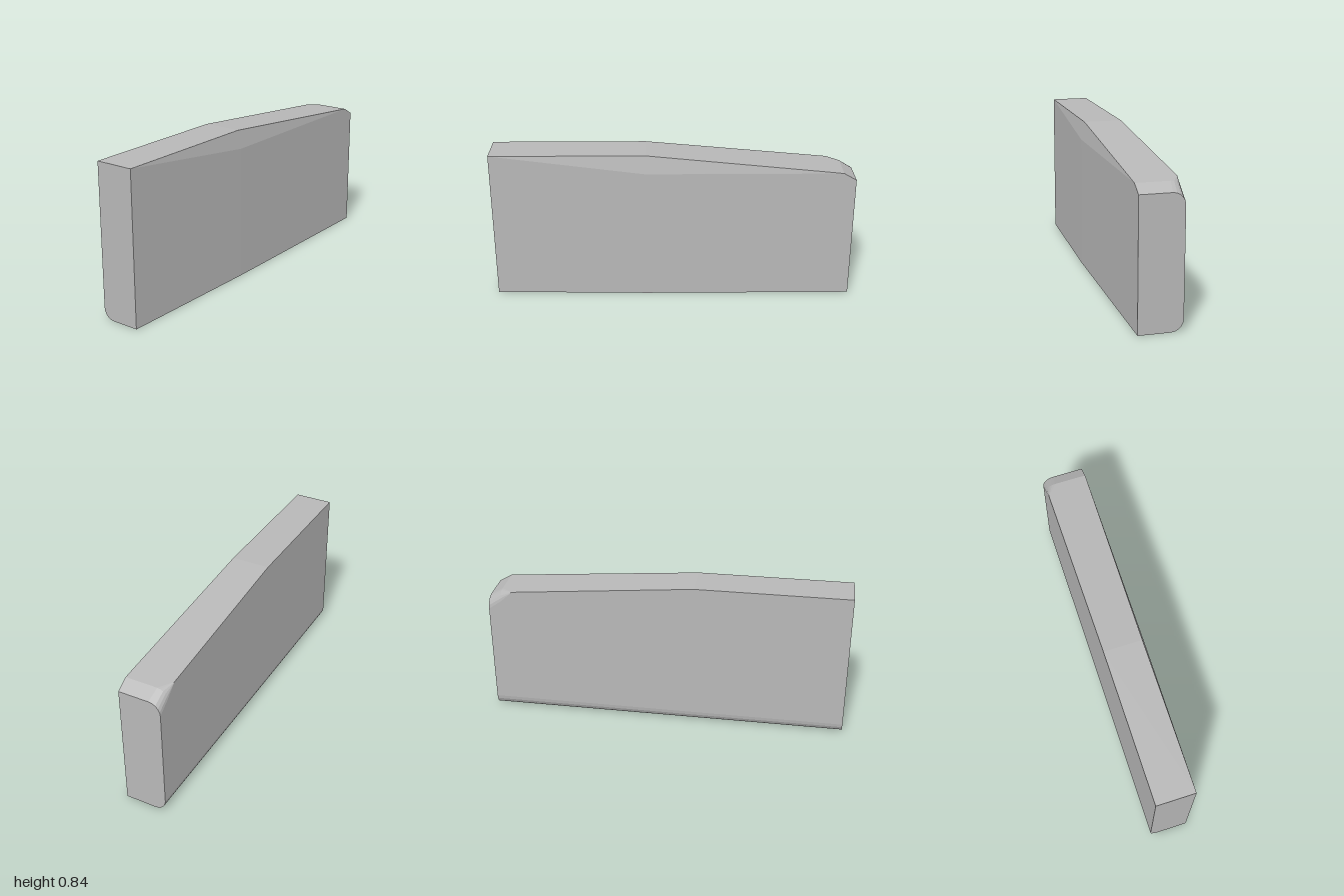
import * as THREE from 'three';

const BACK = -0.117;
const ARC = 5;

// Cross-sections along x: front depth, front crease, top edge and rear corner radii
const sections = [
  { x: -1.0, front: 0.097, creaseY: 0.84, top: 0.84, topZ: 0.097, rTop: 0, rLow: 0.06 },
  { x: -0.15, front: 0.117, creaseY: 0.74, top: 0.84, topZ: 0.097, rTop: 0, rLow: 0.062 },
  { x: 0.86, front: 0.117, creaseY: 0.74, top: 0.747, topZ: 0.1157, rTop: 0, rLow: 0.065 },
  { x: 0.93, front: 0.117, creaseY: 0.74, top: 0.74, topZ: 0.117, rTop: 0.055, rLow: 0.065 },
  { x: 1.0, front: 0.117, creaseY: 0.70, top: 0.70, topZ: 0.117, rTop: 0.065, rLow: 0.065 },
];

// Ring of [y, z] points: up the front, over the top, down the rounded back
function ring(s) {
  const pts = [[0, s.front], [s.creaseY, s.front], [s.top, s.topZ]];
  for (let i = 0; i <= ARC; i++) {
    const t = (i / ARC) * Math.PI / 2;
    pts.push([s.top - s.rTop * (1 - Math.cos(t)), BACK + s.rTop * (1 - Math.sin(t))]);
  }
  for (let i = 0; i <= ARC; i++) {
    const t = (i / ARC) * Math.PI / 2;
    pts.push([s.rLow * (1 - Math.sin(t)), BACK + s.rLow * (1 - Math.cos(t))]);
  }
  return pts;
}

function loft() {
  const rings = sections.map((s) => ring(s).map(([y, z]) => new THREE.Vector3(s.x, y, z)));
  const n = rings[0].length;
  const points = [];
  // Skip triangles that collapse where a corner radius is zero
  const tri = (a, b, c) => {
    if (new THREE.Triangle(a, b, c).getArea() > 1e-8) points.push(a, b, c);
  };
  for (let i = 0; i < rings.length - 1; i++) {
    for (let j = 0; j < n; j++) {
      const k = (j + 1) % n;
      const a = rings[i][j], b = rings[i + 1][j], c = rings[i + 1][k], d = rings[i][k];
      tri(a, b, c);
      tri(a, c, d);
    }
  }
  // Flat end caps
  const first = rings[0], last = rings[rings.length - 1];
  for (let j = 1; j < n - 1; j++) {
    tri(first[0], first[j], first[j + 1]);
    tri(last[0], last[j + 1], last[j]);
  }
  const geometry = new THREE.BufferGeometry().setFromPoints(points);
  geometry.computeVertexNormals();
  return geometry;
}

export function createModel() {
  const group = new THREE.Group();
  group.name = 'shapedBlock';
  const grey = new THREE.MeshStandardMaterial({ color: 0xb8b8b8, flatShading: true });
  grey.name = 'plain grey';
  const body = new THREE.Mesh(loft(), grey);
  body.name = 'body';
  group.add(body);
  return group;
}
